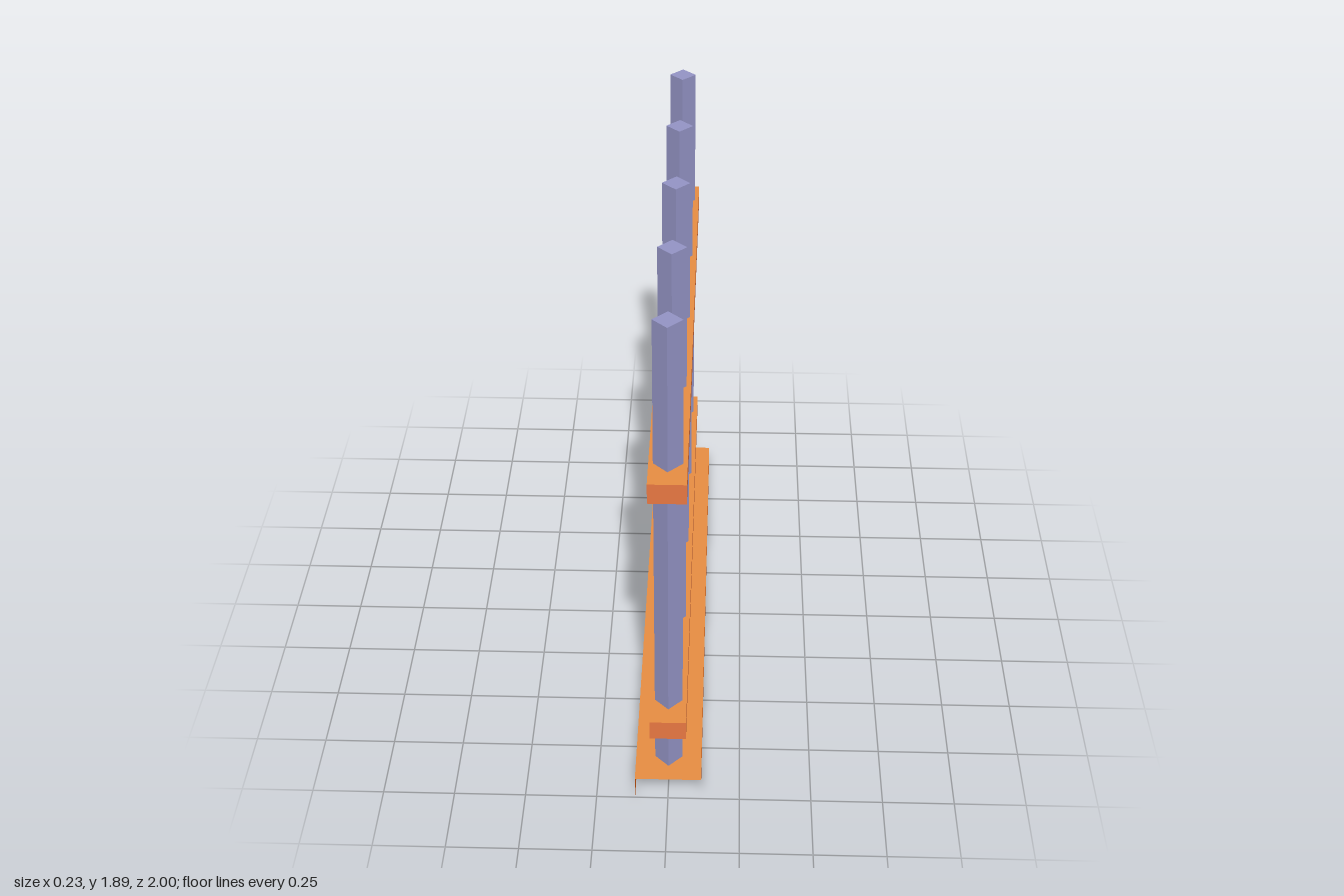
import * as THREE from 'three';

export function createModel() {
  const model = new THREE.Group();
  model.name = 'railing';

  const mat = (name, color, side = THREE.FrontSide) => {
    const m = new THREE.MeshStandardMaterial({ color, side });
    m.name = name;
    return m;
  };
  const deckOrange = mat('light orange', 0xf59646, THREE.DoubleSide);
  const railOrange = mat('rail orange', 0xf57e46);
  const baseOrange = mat('deep orange', 0xf5660f, THREE.DoubleSide);
  const barBlue = mat('lavender blue', 0x9393c4);

  const add = (name, geometry, material, x, y, z) => {
    const mesh = new THREE.Mesh(geometry, material);
    mesh.name = name;
    mesh.position.set(x, y, z);
    model.add(mesh);
    return mesh;
  };

  const length = 2, baseHalf = 0.115, baseHeight = 0.09;

  // Base: an open sheet channel, with no ends and no underside
  add('baseTop', new THREE.PlaneGeometry(baseHalf * 2, length).rotateX(-Math.PI / 2),
    deckOrange, 0, baseHeight, 0);
  for (const side of [-1, 1]) {
    add(side > 0 ? 'baseSideLeft' : 'baseSideRight',
      new THREE.PlaneGeometry(length, baseHeight).rotateY(side * Math.PI / 2),
      baseOrange, side * baseHalf, baseHeight / 2, 0);
  }

  // Horizontal rails: lighter tops and undersides
  const railGeometry = new THREE.BoxGeometry(0.125, 0.074, length);
  const railFaces = [railOrange, railOrange, deckOrange, deckOrange, railOrange, railOrange];
  add('lowerRail', railGeometry, railFaces, 0, 0.321, 0);
  add('upperRail', railGeometry, railFaces, 0, 1.324, 0);

  // Upright bars: square section turned 45 degrees
  const barWidth = 0.048 * Math.SQRT2, barHeight = 1.8;
  const barGeometry = new THREE.BoxGeometry(barWidth, barHeight, barWidth).rotateY(Math.PI / 4);
  for (let i = -2; i <= 2; i++) {
    add('bar' + (i + 3), barGeometry, barBlue, 0, baseHeight + barHeight / 2, i * 0.443);
  }

  return model;
}
